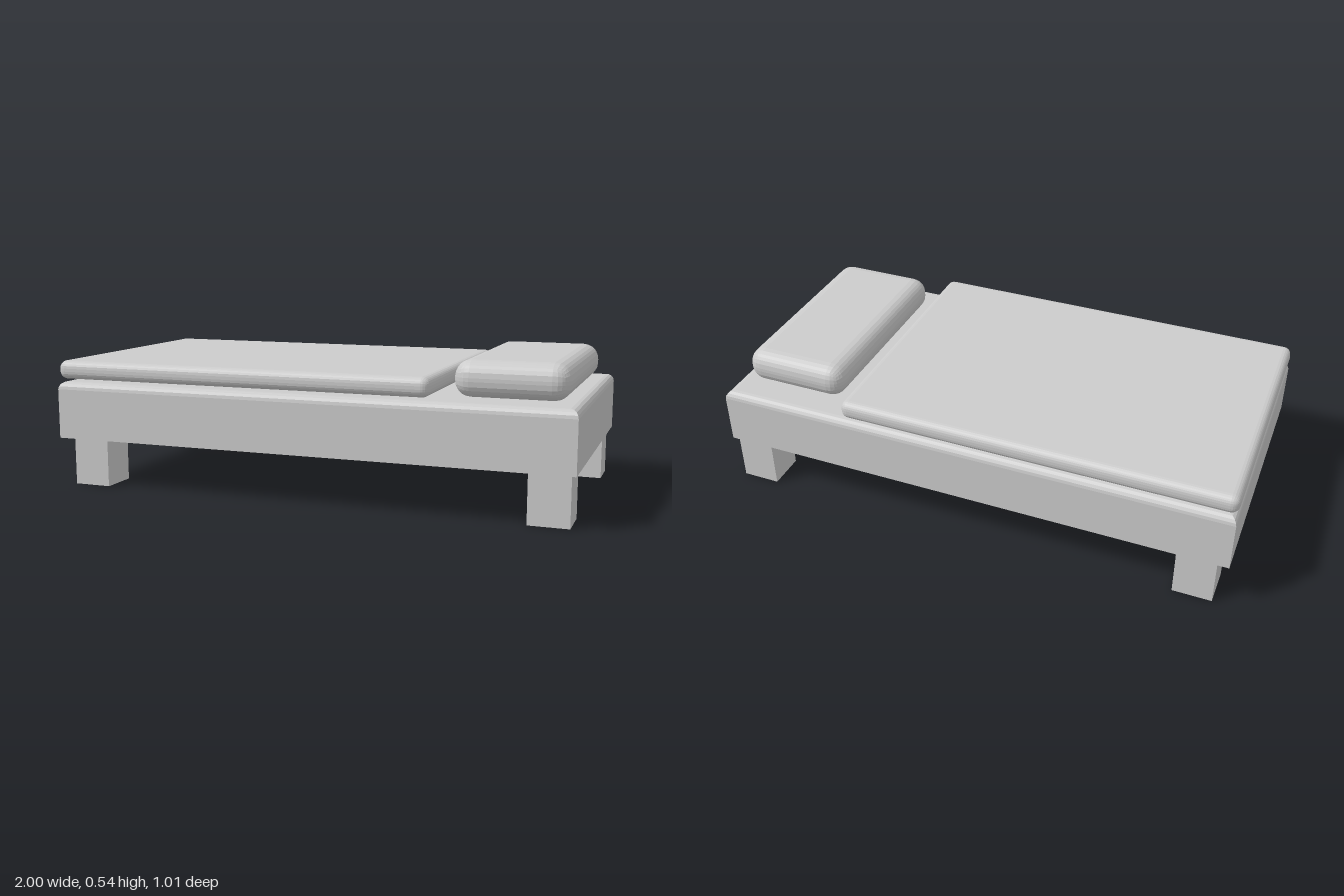
import * as THREE from 'three';
import { RoundedBoxGeometry } from 'three/addons/geometries/RoundedBoxGeometry.js';

const grey = new THREE.MeshStandardMaterial({ color: 0xcccccc, flatShading: true });
const greyOpen = new THREE.MeshStandardMaterial({ color: 0xcccccc, flatShading: true, side: THREE.DoubleSide });

// Block with sharp vertical corners and a rounded top edge, built from rectangular rings
function softTopBlock(halfX, halfZ, y0, y1, r, steps) {
  const rings = [[0, y0]];
  for (let i = 0; i <= steps; i++) {
    const a = (i / steps) * Math.PI / 2;
    rings.push([r * (1 - Math.cos(a)), y1 - r + r * Math.sin(a)]);
  }
  const pos = [], index = [];
  for (const [inset, y] of rings) {
    const x = halfX - inset, z = halfZ - inset;
    pos.push(-x, y, z, x, y, z, x, y, -z, -x, y, -z);
  }
  for (let k = 0; k < rings.length - 1; k++) {
    for (let i = 0; i < 4; i++) {
      const a = k * 4 + i, b = k * 4 + (i + 1) % 4;
      index.push(a, b, b + 4, a, b + 4, a + 4);
    }
  }
  const t = (rings.length - 1) * 4;
  index.push(t, t + 1, t + 2, t, t + 2, t + 3); // top
  index.push(0, 2, 1, 0, 3, 2); // underside
  const geo = new THREE.BufferGeometry();
  geo.setAttribute('position', new THREE.Float32BufferAttribute(pos, 3));
  geo.setIndex(index);
  const flat = geo.toNonIndexed();
  flat.computeVertexNormals();
  return flat;
}

// Square tube, open at both ends, spanning x0..x1, z0..z1
function openLeg(x0, x1, z0, z1, h) {
  const geo = new THREE.CylinderGeometry(Math.SQRT1_2, Math.SQRT1_2, 1, 4, 1, true);
  geo.rotateY(Math.PI / 4);
  geo.scale(x1 - x0, h, z1 - z0);
  geo.translate((x0 + x1) / 2, h / 2, (z0 + z1) / 2);
  return geo;
}

// Cushion rounded on every edge
function cushion(x0, x1, y0, y1, z0, z1, r) {
  const geo = new RoundedBoxGeometry(x1 - x0, y1 - y0, z1 - z0, 3, r);
  geo.translate((x0 + x1) / 2, (y0 + y1) / 2, (z0 + z1) / 2);
  return geo;
}

export function createModel() {
  const model = new THREE.Group();
  model.name = 'bed';
  const add = (name, geometry, material = grey) => {
    const mesh = new THREE.Mesh(geometry, material);
    mesh.name = name;
    model.add(mesh);
  };

  // Base and bedding
  add('mattressBase', softTopBlock(1, 0.505, 0.188, 0.41, 0.03, 4));
  add('blanket', cushion(-1, 0.493, 0.42, 0.492, -0.505, 0.505, 0.03));
  add('pillow', cushion(0.545, 0.953, 0.411, 0.544, -0.405, 0.4, 0.06));

  // Four hollow legs
  for (const [xName, x0, x1] of [['Right', -0.957, -0.81], ['Left', 0.833, 0.98]]) {
    for (const [zName, z0, z1] of [['front', 0.322, 0.468], ['back', -0.493, -0.348]]) {
      add(`${zName}${xName}Leg`, openLeg(x0, x1, z0, z1, 0.188), greyOpen);
    }
  }
  return model;
}
